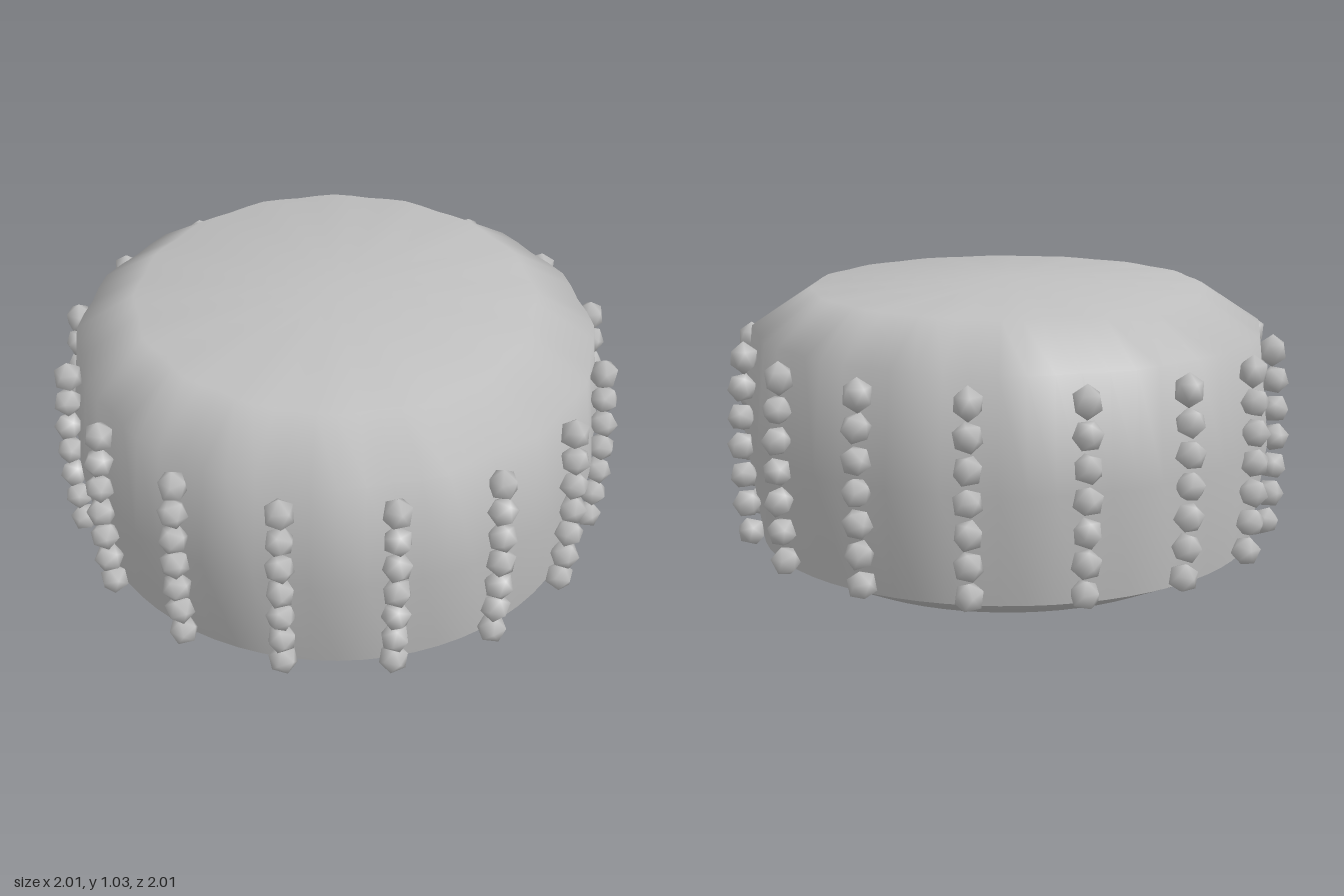
import * as THREE from 'three';
import { mergeVertices } from 'three/addons/utils/BufferGeometryUtils.js';

const COLUMNS = 16;
const BEADS = 7;

// Weld a geometry so its normals are smooth everywhere
function smooth(geometry) {
  geometry.deleteAttribute('uv');
  geometry.deleteAttribute('normal');
  const welded = mergeVertices(geometry, 1e-4);
  welded.computeVertexNormals();
  return welded;
}

// Turned shape whose surface is gently pinched along every bead column
function pinchedLathe(profile) {
  const geometry = new THREE.LatheGeometry(profile.map(([r, y]) => new THREE.Vector2(r, y)), 64);
  const p = geometry.attributes.position;
  for (let i = 0; i < p.count; i++) {
    const x = p.getX(i), z = p.getZ(i), y = p.getY(i);
    const swell = y > 0.11 ? 1 + 0.011 * Math.cos(COLUMNS * Math.atan2(x, z)) : 1;
    p.setX(i, x * swell);
    p.setZ(i, z * swell);
  }
  return smooth(geometry);
}

export function createModel() {
  const model = new THREE.Group();
  model.name = 'beadedCushion';
  const grey = new THREE.MeshStandardMaterial({ color: 0xbfbfbf });
  grey.name = 'soft grey';

  const add = (parent, geometry, name) => {
    const mesh = new THREE.Mesh(geometry, grey);
    mesh.name = name;
    parent.add(mesh);
    return mesh;
  };

  // Bulging side and shallow domed top
  add(model, pinchedLathe([
    [0.9, 0.1], [0.95, 0.48], [0.91, 0.86], [0.7, 1.0], [0, 1.03],
  ]), 'cushion');

  // Bevelled underside, with a sharp edge against the side
  add(model, pinchedLathe([[0, 0], [0.69, 0], [0.9, 0.1]]), 'underside');

  // Low-sided bead with one corner pointing straight up
  const bead = new THREE.IcosahedronGeometry(0.053, 0);
  bead.rotateZ(Math.atan(2 / (1 + Math.sqrt(5))));
  const beadGeometry = smooth(bead);

  // Columns of beads that follow the bulge of the side
  for (let c = 0; c < COLUMNS; c++) {
    const column = new THREE.Group();
    column.name = 'beadColumn';
    column.rotation.y = ((c + 0.5) / COLUMNS) * Math.PI * 2;
    for (let i = 0; i < BEADS; i++) {
      const t = i / (BEADS - 1);
      const mesh = add(column, beadGeometry, 'bead');
      mesh.position.set(0, 0.145 + 0.635 * t, 0.95 + 0.005 * t + 0.08 * t * (1 - t));
      mesh.rotation.y = i * 0.6 + c * 0.4;
      // The top bead ends in a small point
      if (i === BEADS - 1) mesh.scale.y = 1.12;
      else mesh.rotation.x = 0.3 + 0.2 * (i % 3);
    }
    model.add(column);
  }
  return model;
}
